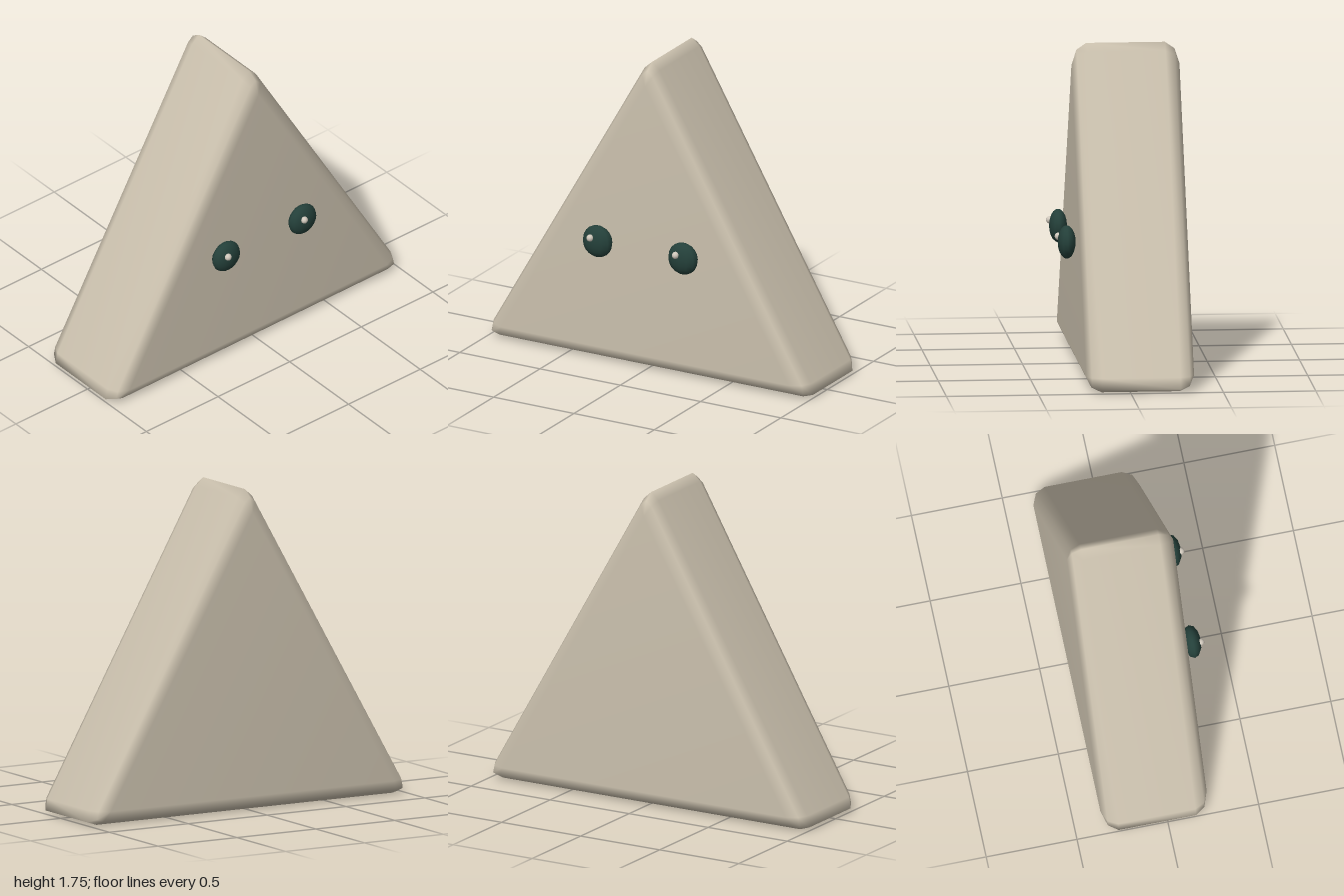
import * as THREE from 'three';
import { mergeVertices } from 'three/addons/utils/BufferGeometryUtils.js';

const BEVEL = 0.08, HALF = 0.896, FRONT = 0.235, BACK = -0.35;

// Triangle outline grown by r from the core triangle, three points per softened corner
function ring(r, z) {
  const h = HALF * Math.sqrt(3);
  const corners = [[0, BEVEL + h, 90], [-HALF, BEVEL, 210], [HALF, BEVEL, 330]];
  const pts = [];
  for (const [cx, cy, deg] of corners) {
    for (const [turn, reach] of [[-31, 1.14], [0, 1.5], [31, 1.14]]) {
      const a = THREE.MathUtils.degToRad(deg + turn);
      pts.push(cx + Math.cos(a) * r * reach, cy + Math.sin(a) * r * reach, z);
    }
  }
  return pts;
}

// Prism with rounded edges, lofted from front to back
function bodyGeometry() {
  const mid = BEVEL * 0.7, drop = 0.027;
  const sections = [
    [0, FRONT], [mid, FRONT - drop], [BEVEL, FRONT - BEVEL],
    [BEVEL, BACK + BEVEL], [mid, BACK + drop], [0, BACK],
  ];
  const positions = sections.flatMap(([r, z]) => ring(r, z));
  const n = 9, last = (sections.length - 1) * n, index = [1, 4, 7, last + 1, last + 7, last + 4];
  for (let s = 0; s < sections.length - 1; s++) {
    for (let i = 0; i < n; i++) {
      const a = s * n + i, b = s * n + (i + 1) % n;
      index.push(a, a + n, b, b, a + n, b + n);
    }
  }
  const geo = new THREE.BufferGeometry();
  geo.setAttribute('position', new THREE.Float32BufferAttribute(positions, 3));
  geo.setIndex(index);
  const merged = mergeVertices(geo, 1e-4);
  merged.computeVertexNormals();
  return merged;
}

export function createModel() {
  const group = new THREE.Group();
  const add = (name, geo, color, x = 0, y = 0, z = 0) => {
    const mesh = new THREE.Mesh(geo, new THREE.MeshStandardMaterial({ color }));
    mesh.name = name;
    mesh.position.set(x, y, z);
    group.add(mesh);
    return mesh;
  };

  add('body', bodyGeometry(), 0xcbc1ae);

  // Flattened eyes, each with a small highlight up and to the same side
  for (const [side, x] of [['left', 0.266], ['right', -0.266]]) {
    const eye = add(side + 'Eye', new THREE.SphereGeometry(0.09, 12, 10), 0x24403a, x, 0.71, 0.284);
    eye.scale.z = 0.54;
    add(side + 'EyeHighlight', new THREE.SphereGeometry(0.02, 10, 8), 0xd0c8bc, x - 0.022, 0.738, 0.328);
  }
  return group;
}
